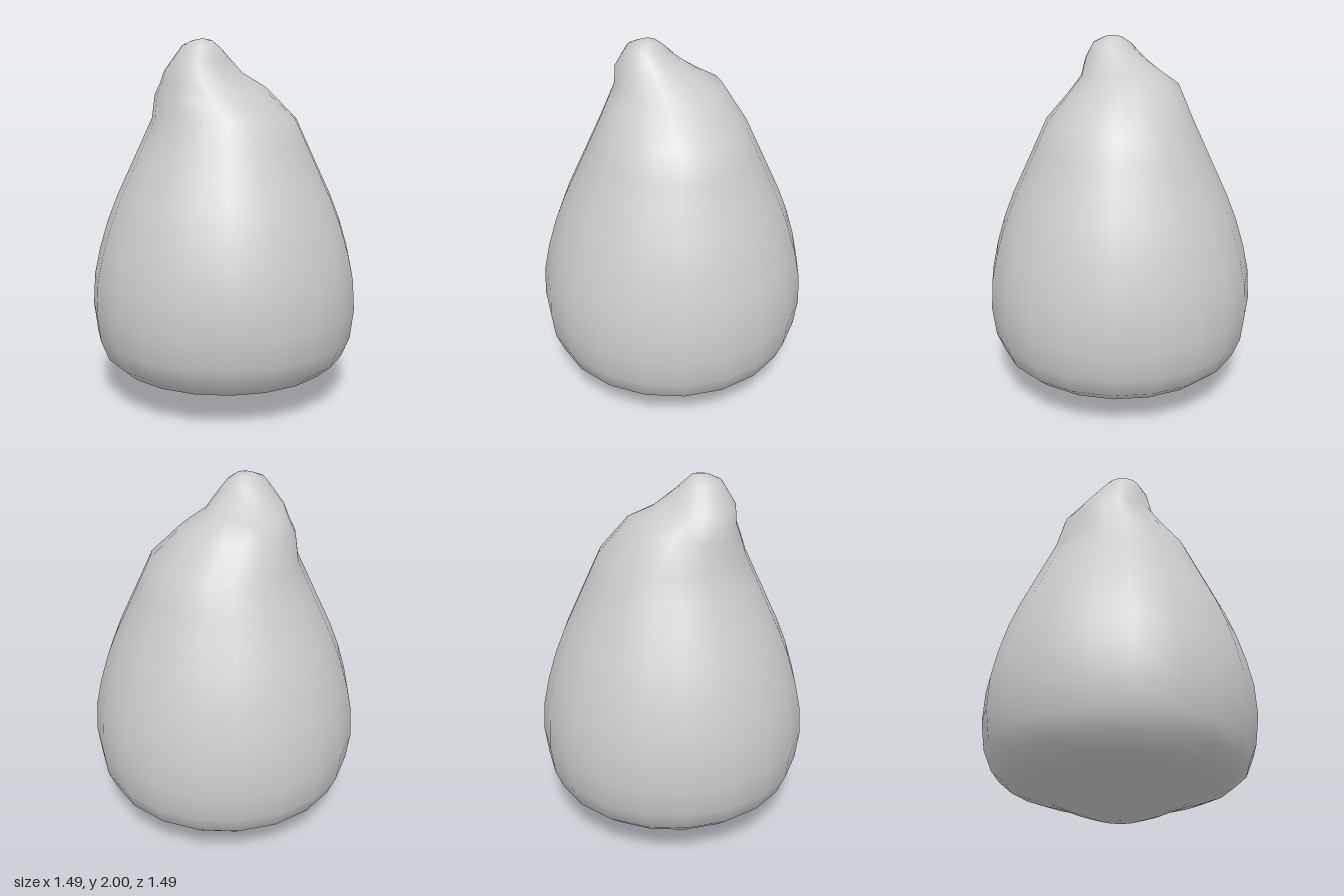
import * as THREE from 'three';
import { mergeVertices } from 'three/addons/utils/BufferGeometryUtils.js';

const SIDES = 20;

// Rings from base to tip: radius, height, then centre shift x, z and tilt along x, z
const RINGS = [
  [0, 0], [0.13, 0.015], [0.25, 0.055], [0.38, 0.11], [0.5, 0.145], [0.605, 0.185],
  [0.68, 0.25], [0.725, 0.36], [0.745, 0.52], [0.735, 0.69], [0.703, 0.84], [0.655, 1.0],
  [0.6, 1.14], [0.53, 1.29], [0.465, 1.43], [0.4, 1.57],
  [0.305, 1.72, -0.035, 0.07, -0.02, -0.04],
  [0.225, 1.79, -0.045, 0.125, 0, -0.035],
  [0.175, 1.865, -0.03, 0.168, 0.02, -0.03],
  [0.105, 1.955, 0, 0.155, 0, 0.01],
  [0.05, 1.99, 0, 0.15],
  [0, 2.0, 0, 0.15],
];

export function createModel() {
  const group = new THREE.Group();
  group.name = 'pearShape';

  const profile = RINGS.map(([r, y]) => new THREE.Vector2(r, y));
  let geometry = new THREE.LatheGeometry(profile, SIDES);

  // Shift and tilt the upper rings into a lopsided, overhanging knob
  const pos = geometry.attributes.position;
  for (let i = 0; i < pos.count; i++) {
    const [, y, cx = 0, cz = 0, tiltX = 0, tiltZ = 0] = RINGS[i % RINGS.length];
    const angle = (Math.floor(i / RINGS.length) / SIDES) * Math.PI * 2;
    pos.setXYZ(
      i,
      pos.getX(i) + cx,
      y + tiltX * Math.sin(angle) + tiltZ * Math.cos(angle),
      pos.getZ(i) + cz
    );
  }

  // Weld the seam and poles for continuous smooth shading
  geometry.deleteAttribute('uv');
  geometry.deleteAttribute('normal');
  geometry = mergeVertices(geometry, 1e-4);
  geometry.computeVertexNormals();

  const body = new THREE.Mesh(geometry, new THREE.MeshStandardMaterial({ color: 0xcccccc }));
  body.name = 'body';
  group.add(body);
  return group;
}
